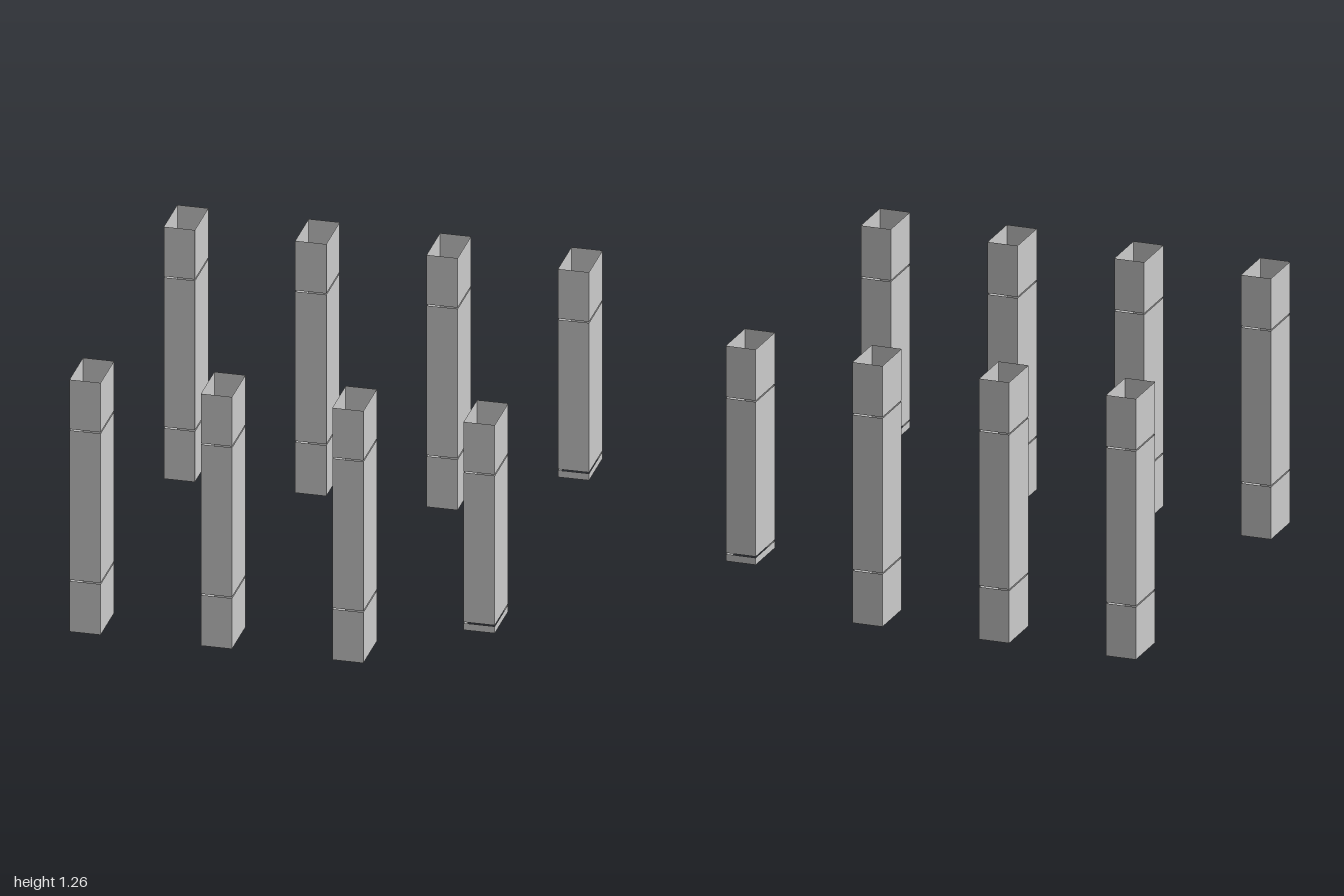
import * as THREE from 'three';

const W = 0.146, D = 0.246; // pillar footprint

// Four thin walls, open at top and bottom
function sleeve(name, y0, y1, material) {
  const h = y1 - y0;
  const group = new THREE.Group();
  group.name = name;
  for (const s of [1, -1]) {
    const wide = new THREE.Mesh(new THREE.PlaneGeometry(W, h), material);
    wide.name = s > 0 ? 'frontWall' : 'backWall';
    wide.position.z = s * D / 2;
    wide.rotation.y = s > 0 ? 0 : Math.PI;
    const side = new THREE.Mesh(new THREE.PlaneGeometry(D, h), material);
    side.name = s > 0 ? 'leftWall' : 'rightWall';
    side.position.x = s * W / 2;
    side.rotation.y = s * Math.PI / 2;
    group.add(wide, side);
  }
  group.position.y = (y0 + y1) / 2;
  return group;
}

export function createModel() {
  const model = new THREE.Group();
  model.name = 'pillars';
  const material = new THREE.MeshStandardMaterial({
    color: 0xcccccc, flatShading: true, side: THREE.DoubleSide,
  });

  // Two rows of four pillars; the leftmost pair has a shortened base
  for (const z of [0.8625, -0.8625]) {
    for (let i = 0; i < 4; i++) {
      const pillar = new THREE.Group();
      pillar.name = 'pillar';
      pillar.position.set(-0.927 + i * 0.618, 0, z);
      // Sections are separated by narrow joints
      pillar.add(
        sleeve('base', i === 3 ? 0.22 : 0, 0.254, material),
        sleeve('shaft', 0.26, 1.009, material),
        sleeve('capital', 1.015, 1.263, material),
      );
      model.add(pillar);
    }
  }
  return model;
}
